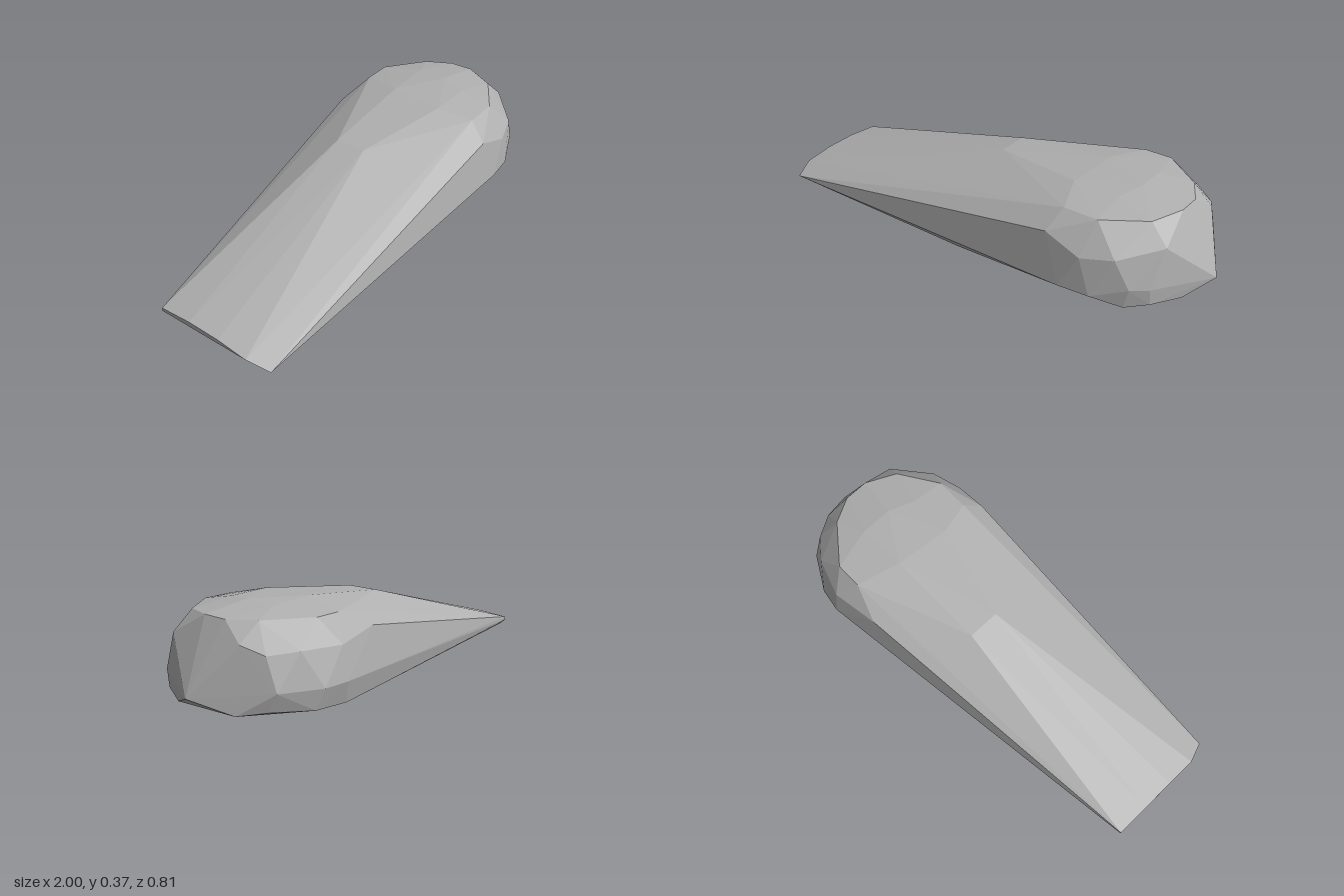
import * as THREE from 'three';
import { ConvexGeometry } from 'three/addons/geometries/ConvexGeometry.js';

export function createModel() {
  const group = new THREE.Group();
  group.name = 'wedgeRock';
  const stone = new THREE.MeshStandardMaterial({ color: 0xb0b0b0, flatShading: true });
  stone.name = 'stone grey';

  // Key corners of the faceted stone, grouped by region (x, y, z)
  const thinEnd = [
    [-1, 0.045, -0.18], [-1, 0.06, -0.03], [-1, 0.06, 0.12], [-1, 0.045, 0.26],
    [-0.97, 0.015, 0.355], [-1, 0.03, -0.18],
  ];
  const base = [
    [-0.95, 0.012, 0.34], [-0.98, 0.015, -0.17], [0, 0.002, 0.355], [0.68, 0.003, 0.3],
    [0.6, 0.003, -0.25], [0.55, 0.015, -0.38], [0.92, 0.012, 0.13], [0.92, 0.012, -0.17],
  ];
  const crown = [
    [0, 0.33, 0.04], [0, 0.327, -0.1], [0.42, 0.37, 0.14], [0.44, 0.372, -0.11],
    [0.66, 0.375, 0.02], [0.66, 0.367, -0.12], [0.62, 0.367, 0.14],
    [0.47, 0.34, 0.29], [0.62, 0.34, 0.29], [0.5, 0.34, -0.3], [0.62, 0.34, -0.3],
    [0.79, 0.34, 0.18], [0.79, 0.34, -0.17],
  ];
  const sides = [
    [0.44, 0.265, 0.373], [0.6, 0.21, 0.383], [0.52, 0.06, 0.402], [0.65, 0.055, 0.385],
    [0.73, 0.225, 0.34], [0.79, 0.105, 0.325], [0.77, 0.018, 0.325],
    [0.35, 0.27, -0.35], [0.57, 0.24, -0.38], [0.57, 0.105, -0.405], [0.68, 0.1, -0.388],
    [0.74, 0.24, -0.325], [0.7, 0.017, -0.36],
  ];
  const nose = [
    [1, 0.065, 0], [0.85, 0.345, 0.045], [0.85, 0.34, -0.06], [0.87, 0.26, 0.2],
    [0.88, 0.265, -0.16], [0.84, 0.23, -0.25], [0.84, 0.1, -0.3], [0.85, 0.1, 0.27],
    [0.85, 0.027, 0.26], [0.85, 0.027, -0.265],
  ];

  const points = [...thinEnd, ...base, ...crown, ...sides, ...nose]
    .map(([x, y, z]) => new THREE.Vector3(x, y - 0.002, z));
  const rock = new THREE.Mesh(new ConvexGeometry(points), stone);
  rock.name = 'rock';
  group.add(rock);
  return group;
}
